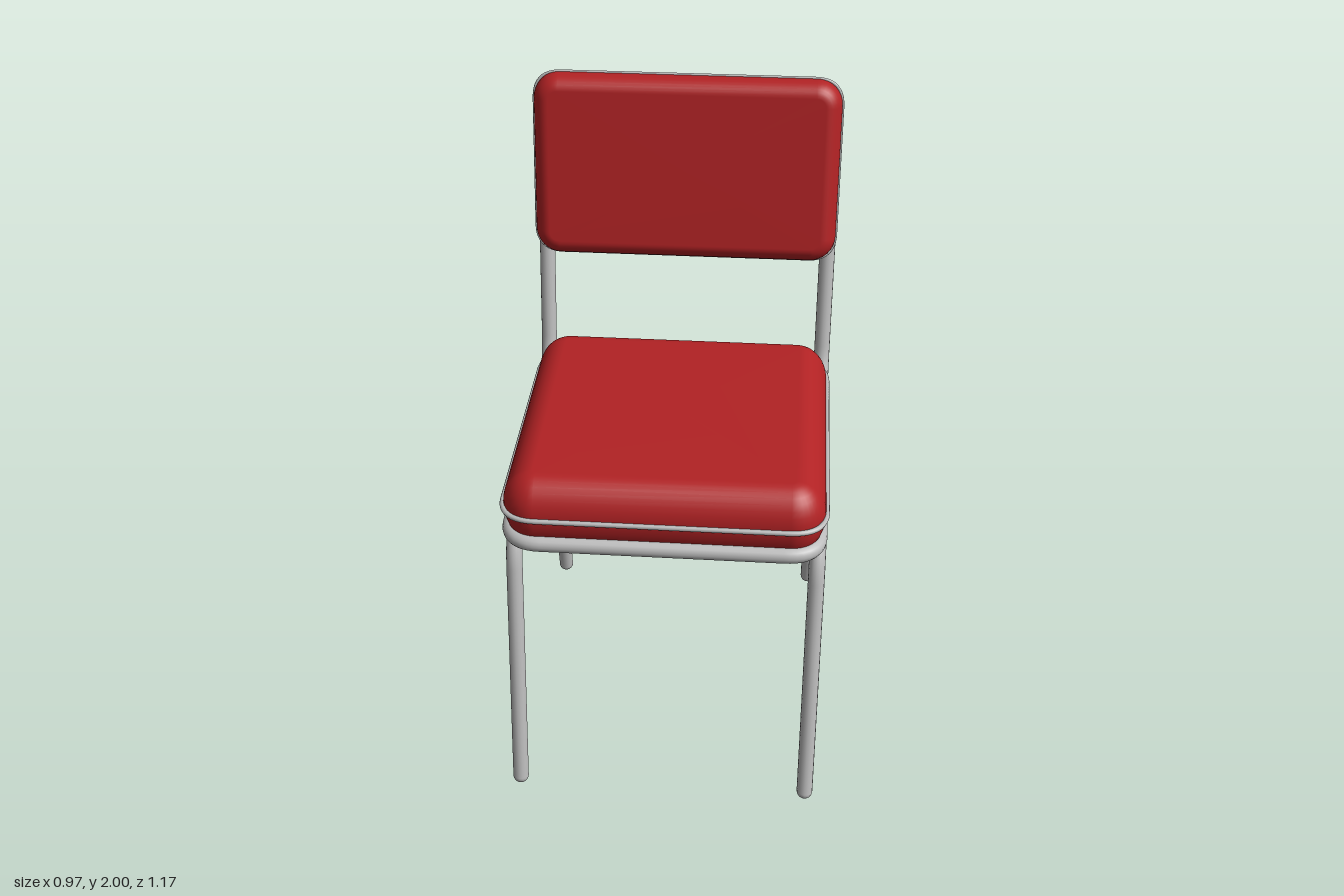
import * as THREE from 'three';

const red = new THREE.MeshStandardMaterial({ color: 0xb22224 });
red.name = 'red vinyl';
const steel = new THREE.MeshStandardMaterial({ color: 0xbcbcbc });
steel.name = 'steel';

const TUBE = 0.025;
const X = 0.456;
const LEAN = Math.tan(THREE.MathUtils.degToRad(10));
const V = (x, y, z) => new THREE.Vector3(x, y, z);

// Path of straight runs whose corners are softened; bends[i] is the trim length at point i
function bentPath(points, bends, closed) {
  const path = new THREE.CurvePath();
  const n = points.length;
  const start = closed ? points[n - 1].clone().lerp(points[0], 0.5) : points[0].clone();
  let at = start;
  const line = (to) => {
    path.add(new THREE.LineCurve3(at, to));
    at = to;
  };
  for (let i = closed ? 0 : 1; i < (closed ? n : n - 1); i++) {
    const p = points[i];
    const toward = (q) => p.clone().add(q.clone().sub(p).setLength(bends[i]));
    line(toward(points[(i + n - 1) % n]));
    const out = toward(points[(i + 1) % n]);
    path.add(new THREE.QuadraticBezierCurve3(at, p, out));
    at = out;
  }
  line(closed ? start.clone() : points[n - 1]);
  return path;
}

function tube(name, path, segments, radius, sides, closed) {
  const mesh = new THREE.Mesh(new THREE.TubeGeometry(path, segments, radius, sides, closed), steel);
  mesh.name = name;
  return mesh;
}

// Rounded rectangle in the xz plane as a list of [x, z]
function roundedRect(w, d, r, steps = 8) {
  const pts = [];
  [[1, 1], [-1, 1], [-1, -1], [1, -1]].forEach(([sx, sz], c) => {
    for (let i = 0; i <= steps; i++) {
      const a = (c + i / steps) * Math.PI / 2;
      pts.push([sx * (w / 2 - r) + r * Math.cos(a), sz * (d / 2 - r) + r * Math.sin(a)]);
    }
  });
  return pts;
}

// Padded cushion lofted from rounded rectangles, with its seam at y = 0
function cushion(name, w, d, corner, up, upInset, down, downInset) {
  const pos = [], index = [], rings = [];
  const steps = 8;
  for (let i = 0; i <= steps; i++) {
    const a = (1 - i / steps) * Math.PI / 2;
    rings.push([downInset * (1 - Math.cos(a)), -down * Math.sin(a)]);
  }
  for (let i = 1; i <= steps; i++) {
    const a = (i / steps) * Math.PI / 2;
    rings.push([upInset * (1 - Math.cos(a)), up * Math.sin(a)]);
  }
  let n = 0;
  for (const [inset, y] of rings) {
    const ring = roundedRect(w - 2 * inset, d - 2 * inset, Math.max(corner - inset, 0.012));
    n = ring.length;
    ring.forEach(([x, z]) => pos.push(x, y, z));
  }
  const last = (rings.length - 1) * n;
  const bottom = pos.length / 3, top = bottom + 1;
  pos.push(0, -down, 0, 0, up, 0);
  for (let j = 0; j < n; j++) {
    const k = (j + 1) % n;
    for (let i = 0; i < rings.length - 1; i++) {
      const a = i * n + j, b = i * n + k;
      index.push(a, a + n, b, b, a + n, b + n);
    }
    index.push(bottom, j, k, top, last + k, last + j);
  }
  const geo = new THREE.BufferGeometry();
  geo.setAttribute('position', new THREE.Float32BufferAttribute(pos, 3));
  geo.setIndex(index);
  geo.computeVertexNormals();
  const mesh = new THREE.Mesh(geo, red);
  mesh.name = name;
  return mesh;
}

// Thin cord around a cushion seam
function piping(name, w, d, corner, radius) {
  const h = w / 2, k = d / 2;
  const pts = [V(h, 0, k), V(-h, 0, k), V(-h, 0, -k), V(h, 0, -k)];
  return tube(name, bentPath(pts, Array(4).fill(corner), true), 240, radius, 8, true);
}

export function createModel() {
  const chair = new THREE.Group();
  chair.name = 'chair';

  // One continuous loop: seat rail, back uprights and top bar
  const railY = 0.945, topY = 1.945;
  const backZ = (y) => -0.43 - (y - 1.2) * LEAN;
  const side = (s) => [V(s * X, railY, 0.522), V(s * X, railY, backZ(railY)), V(s * X, topY, backZ(topY))];
  const loop = [...side(1), ...side(-1).reverse()];
  chair.add(tube('seatAndBackFrame', bentPath(loop, [0.1, 0.16, 0.11, 0.11, 0.16, 0.1], true), 320, TUBE, 16, true));

  // Four legs bending into the seat rail, with rounded feet
  const legTop = 0.935, footY = 0.026;
  for (const s of [1, -1]) {
    for (const [name, dir] of [['frontLeg', 1], ['backLeg', -1]]) {
      const z = (v) => 0.014 + dir * v;
      const leg = new THREE.Group();
      leg.name = (s > 0 ? 'left' : 'right') + name[0].toUpperCase() + name.slice(1);
      const foot = V(s * X, footY, z(0.546));
      const knee = V(s * X, legTop, z(0.546 - (legTop - footY) * LEAN));
      const end = V(s * X, legTop, z(0.2));
      leg.add(tube('legTube', bentPath([foot, knee, end], [0, 0.165, 0], false), 60, TUBE, 16, false));
      const tip = new THREE.Mesh(new THREE.SphereGeometry(TUBE, 16, 12), steel);
      tip.name = 'foot';
      tip.position.copy(foot);
      leg.add(tip);
      chair.add(leg);
    }
  }

  // Seat cushion
  const seat = new THREE.Group();
  seat.name = 'seat';
  seat.add(cushion('seatCushion', 0.945, 0.935, 0.1, 0.11, 0.09, 0.108, 0.06));
  seat.add(piping('seatPiping', 0.95, 0.94, 0.11, 0.008));
  seat.position.set(0, 1.035, 0.067);
  chair.add(seat);

  // Backrest cushion, leaning back with the uprights
  const back = new THREE.Group();
  back.name = 'backrest';
  back.add(cushion('backCushion', 0.955, 0.575, 0.08, 0.064, 0.05, 0.064, 0.05));
  back.add(piping('backPiping', 0.955, 0.575, 0.085, 0.005));
  back.position.set(0, 1.709, -0.447);
  back.rotation.x = Math.PI / 2 - THREE.MathUtils.degToRad(10);
  chair.add(back);

  return chair;
}
